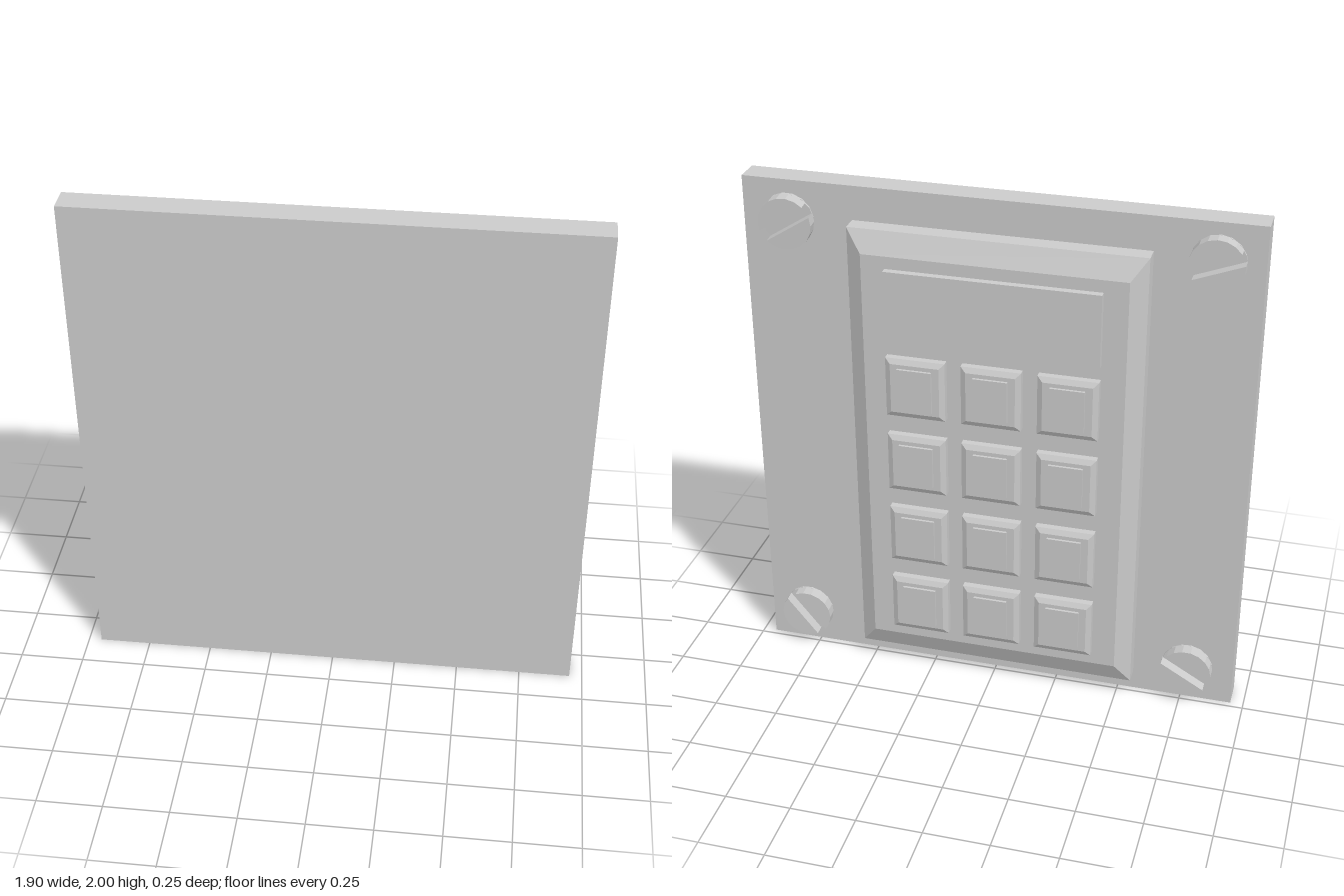
import * as THREE from 'three';

const material = new THREE.MeshStandardMaterial({ color: 0xcccccc, flatShading: true });

function add(parent, name, geometry, x, y, z) {
  const mesh = new THREE.Mesh(geometry, material);
  mesh.name = name;
  mesh.position.set(x, y, z);
  parent.add(mesh);
  return mesh;
}

// Block standing on z = 0: straight walls up to "shoulder", then sloping in to the top
function bevelBlock(w, h, depth, shoulder, insetX, insetY) {
  const g = new THREE.BoxGeometry(w, h, depth, 1, 1, 2);
  const p = g.attributes.position;
  for (let i = 0; i < p.count; i++) {
    const z = p.getZ(i);
    if (z > 1e-5) {
      p.setX(i, p.getX(i) - Math.sign(p.getX(i)) * insetX);
      p.setY(i, p.getY(i) - Math.sign(p.getY(i)) * insetY);
      p.setZ(i, depth);
    } else {
      p.setZ(i, z < -1e-5 ? 0 : shoulder);
    }
  }
  const flat = g.toNonIndexed();
  flat.computeVertexNormals();
  return flat;
}

// Slotted screw head: a disc carrying two half-round cheeks
function makeScrew(r) {
  const screw = new THREE.Group();
  screw.name = 'screw';
  const disc = new THREE.CylinderGeometry(r, r, 0.04, 16).rotateX(Math.PI / 2);
  add(screw, 'screwBase', disc, 0, 0, -0.015);
  const halfSlot = 0.022;
  const a = Math.asin(halfSlot / r);
  const cheek = new THREE.Shape();
  for (let i = 0; i <= 8; i++) {
    const t = a + (Math.PI - 2 * a) * i / 8;
    const x = r * Math.cos(t), y = r * Math.sin(t);
    if (i) cheek.lineTo(x, y);
    else cheek.moveTo(x, y);
  }
  const g = new THREE.ExtrudeGeometry(cheek, { depth: 0.046, bevelEnabled: false });
  add(screw, 'screwCheek', g, 0, 0, 0.003);
  add(screw, 'screwCheek', g, 0, 0, 0.003).rotation.z = Math.PI;
  return screw;
}

export function createModel() {
  const model = new THREE.Group();
  model.name = 'keypadPanel';

  // Mounting plate
  add(model, 'backPlate', new THREE.BoxGeometry(1.9, 2, 0.102), 0, 1, 0.074);

  // Everything on the keypad side is built facing +z, then turned to face -z
  const keypad = new THREE.Group();
  keypad.name = 'keypad';
  keypad.rotation.y = Math.PI;
  model.add(keypad);

  // Bevelled housing and display
  add(keypad, 'housing', bevelBlock(1.095, 1.79, 0.103, 0.067, 0.06, 0.083), 0.012, 0.975, -0.024);
  add(keypad, 'display', new THREE.BoxGeometry(0.795, 0.28, 0.035), 0.012, 1.6, 0.088);

  // Four rows of three keys, each with a plain raised pad
  const key = bevelBlock(0.225, 0.236, 0.045, 0.035, 0.02, 0.02);
  const pad = new THREE.BoxGeometry(0.13, 0.165, 0.02);
  for (let row = 0; row < 4; row++) {
    for (let col = 0; col < 3; col++) {
      const x = 0.012 + (col - 1) * 0.285;
      const y = 1.285 - row * 0.3165;
      add(keypad, 'key', key, x, y, 0.07);
      add(keypad, 'keyPad', pad, x, y, 0.115);
    }
  }

  // Corner screws: x, y, slot angle in degrees, slight tilt about x and y
  const screws = [
    [-0.78, 1.85, 32, 0.04, 0.05],
    [0.785, 1.855, 21, 0, 0],
    [-0.79, 0.145, -52, 0, 0.04],
    [0.77, 0.145, -30, 0, 0],
  ];
  for (const [x, y, slot, tiltX, tiltY] of screws) {
    const screw = makeScrew(0.1);
    screw.position.set(x, y, -0.02);
    screw.rotation.set(tiltX, tiltY, THREE.MathUtils.degToRad(slot));
    keypad.add(screw);
  }
  return model;
}
